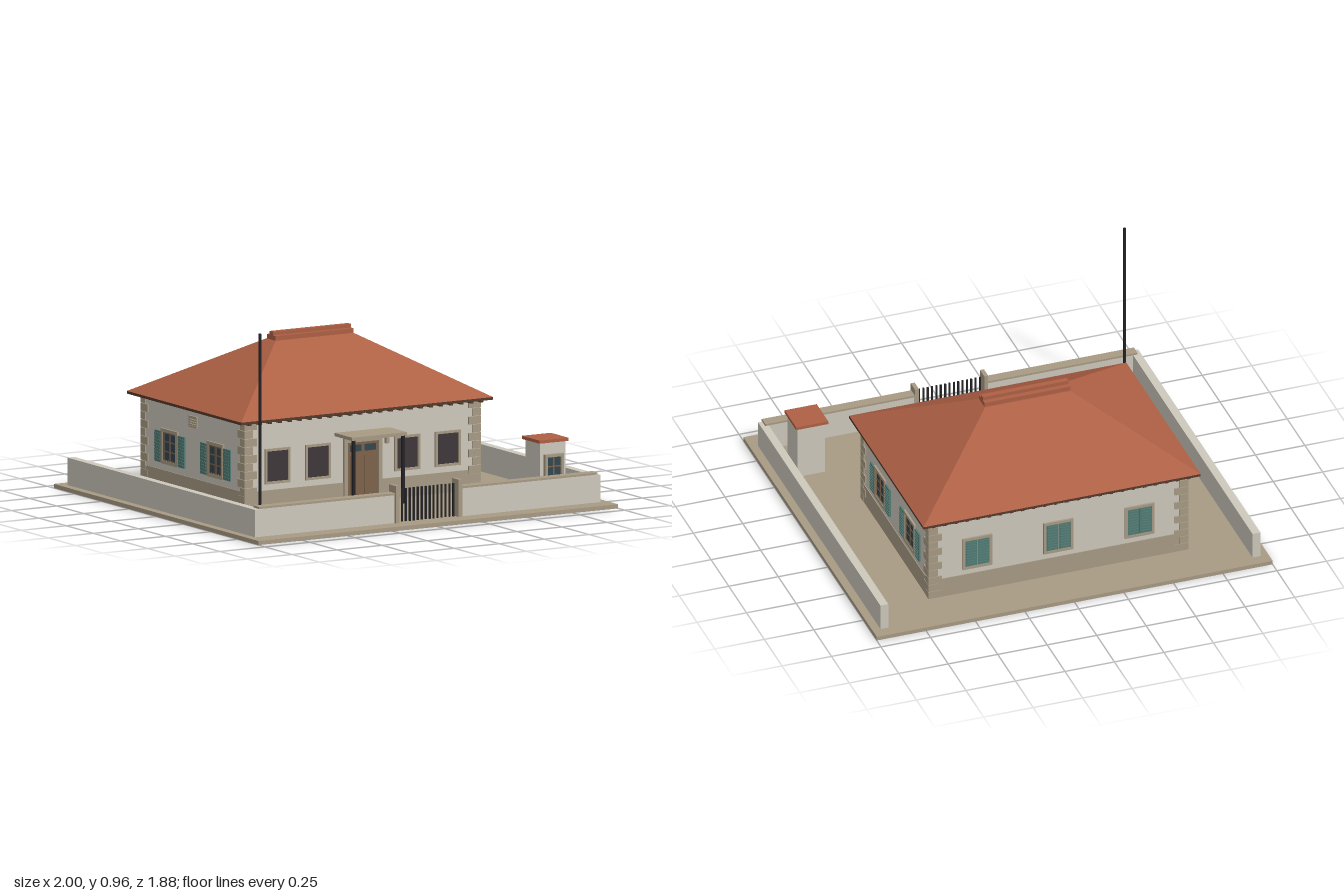
import * as THREE from 'three';

const mat = (name, color) => {
  const m = new THREE.MeshStandardMaterial({ color });
  m.name = name;
  return m;
};

export function createModel() {
  const plaster = mat('plaster', 0xcdc8bc);
  const stone = mat('stone', 0xa89b84);
  const tile = mat('roof tile', 0xae6044);
  const wood = mat('door wood', 0x7d624a);
  const darkWood = mat('eave wood', 0x553a2c);
  const iron = mat('iron', 0x242428);
  const glass = mat('glass', 0x33474f);
  const teal = mat('shutter teal', 0x527b74);
  const dark = mat('dark pane', 0x40383a);

  const model = new THREE.Group();
  model.name = 'walledHouse';

  // Box given by its min and max on each axis
  const box = (parent, name, m, x0, x1, y0, y1, z0, z1) => {
    const mesh = new THREE.Mesh(new THREE.BoxGeometry(x1 - x0, y1 - y0, z1 - z0), m);
    mesh.position.set((x0 + x1) / 2, (y0 + y1) / 2, (z0 + z1) / 2);
    mesh.name = name;
    parent.add(mesh);
    return mesh;
  };
  const group = (name, x = 0, y = 0, z = 0, turn = 0) => {
    const g = new THREE.Group();
    g.name = name;
    g.position.set(x, y, z);
    g.rotation.y = turn;
    model.add(g);
    return g;
  };
  // Upright frame ring around an opening, local z = 0 at the wall
  const frame = (g, m, w, y0, y1, t, d) => {
    box(g, 'frameLeft', m, w - t, w, y0, y1, 0, d);
    box(g, 'frameRight', m, -w, -w + t, y0, y1, 0, d);
    box(g, 'frameTop', m, -w + t, w - t, y1 - t, y1, 0, d);
    box(g, 'frameBottom', m, -w + t, w - t, y0, y0 + t, 0, d);
  };
  // Louvred shutter leaf
  const shutter = (g, x0, x1, y0, y1, d) => {
    box(g, 'shutterLeaf', teal, x0, x1, y0, y1, 0, d);
    for (let i = 0; i < 9; i++) {
      const y = y0 + 0.01 + (i / 9) * (y1 - y0 - 0.012);
      box(g, 'shutterSlat', teal, x0 + 0.006, x1 - 0.006, y, y + 0.006, d, d + 0.004);
    }
  };

  // Ground slab
  box(model, 'groundSlab', stone, -1, 1, 0, 0.02, -0.94, 0.94);

  // Yard walls, gate posts and gate
  for (const s of [-1, 1]) {
    const span = (a, b) => (s > 0 ? [a, b] : [-b, -a]);
    box(model, 'sideYardWall', plaster, ...span(0.92, 0.96), 0.02, 0.152, -0.88, 0.845);
    box(model, 'frontYardWall', plaster, ...span(0.18, 0.92), 0.02, 0.155, 0.803, 0.843);
    box(model, 'wallCoping', stone, ...span(0.18, 0.94), 0.155, 0.165, 0.798, 0.848);
    box(model, 'gatePost', stone, ...span(0.165, 0.185), 0.02, 0.2, 0.795, 0.855);
  }
  for (let i = 0; i < 15; i++) {
    const x = -0.154 + i * 0.022;
    box(model, 'gateBar', iron, x - 0.004, x + 0.004, 0.02, 0.18, 0.82, 0.828);
  }

  // House body and plinth
  const X = 0.65, ZF = 0.24, ZB = -0.705;
  box(model, 'houseWalls', plaster, -X, X, 0.02, 0.46, ZB, ZF);
  box(model, 'plinth', stone, -X - 0.004, X + 0.004, 0.02, 0.12, ZB - 0.004, ZF + 0.004);

  // Alternating corner stones
  for (const sx of [-1, 1]) for (const sz of [-1, 1]) {
    for (let i = 0; i < 11; i++) {
      const y1 = 0.455 - i * 0.0395;
      const lx = i % 2 ? 0.047 : 0.068, lz = i % 2 ? 0.068 : 0.042;
      const ox = X + 0.007, oz = (sz > 0 ? ZF : -ZB) + 0.007;
      const xs = sx > 0 ? [ox - lx, ox] : [-ox, -ox + lx];
      const zs = sz > 0 ? [oz - lz, oz] : [-oz, -oz + lz];
      box(model, 'cornerStone', stone, ...xs, y1 - 0.037, y1, ...zs);
    }
  }

  // Hipped roof: box with its top corners drawn in to the ridge
  box(model, 'eaveBoard', darkWood, -0.7, 0.7, 0.455, 0.468, -0.763, 0.285);
  const roofGeo = new THREE.BoxGeometry(2, 1, 2);
  const p = roofGeo.attributes.position;
  for (let i = 0; i < p.count; i++) {
    const top = p.getY(i) > 0;
    const hx = top ? 0.217 : 0.7, hz = top ? 0.042 : 0.525;
    p.setXYZ(i, p.getX(i) * hx, top ? 0.75 : 0.468, -0.239 + p.getZ(i) * hz);
  }
  roofGeo.computeVertexNormals();
  const roof = new THREE.Mesh(roofGeo, tile);
  roof.name = 'hippedRoof';
  model.add(roof);
  box(model, 'ridgeBase', tile, -0.217, 0.217, 0.75, 0.772, -0.275, -0.197);
  box(model, 'ridgeCap', tile, -0.217, 0.217, 0.772, 0.79, -0.25, -0.222);

  // Rafter tails under the eaves
  for (let i = 0; i < 24; i++) {
    const x = -0.644 + i * 0.056;
    box(model, 'backRafter', darkWood, x - 0.008, x + 0.008, 0.446, 0.456, -0.755, ZB);
    box(model, 'frontRafter', darkWood, x - 0.008, x + 0.008, 0.446, 0.456, ZF, 0.277);
  }

  // Front windows
  for (const x of [-0.473, -0.248, 0.248, 0.473]) {
    const g = group('frontWindow', x, 0, ZF);
    box(g, 'pane', dark, -0.06, 0.06, 0.16, 0.31, 0, 0.005);
    frame(g, stone, 0.07, 0.15, 0.32, 0.012, 0.01);
  }

  // Side windows with open shutters
  for (const s of [-1, 1]) for (const z of [-0.025, -0.445]) {
    const g = group('sideWindow', s * X, 0, z, s * Math.PI / 2);
    frame(g, stone, 0.075, 0.152, 0.322, 0.016, 0.01);
    box(g, 'glassPane', glass, -0.055, 0.055, 0.165, 0.308, 0, 0.003);
    frame(g, wood, 0.06, 0.163, 0.308, 0.009, 0.007);
    box(g, 'mullion', wood, -0.005, 0.005, 0.17, 0.3, 0, 0.006);
    for (const y of [0.213, 0.26]) box(g, 'glazingBar', wood, -0.052, 0.052, y - 0.003, y + 0.003, 0, 0.005);
    shutter(g, 0.076, 0.137, 0.155, 0.305, 0.008);
    shutter(g, -0.137, -0.076, 0.155, 0.305, 0.008);
  }

  // Back windows with closed shutters
  for (const x of [-0.41, 0, 0.41]) {
    const g = group('backWindow', x, 0, ZB, Math.PI);
    frame(g, stone, 0.075, 0.15, 0.322, 0.014, 0.01);
    shutter(g, 0.002, 0.061, 0.164, 0.308, 0.007);
    shutter(g, -0.061, -0.002, 0.164, 0.308, 0.007);
  }

  // Vent on the right wall
  const vent = group('wallVent', -X, 0, -0.23, -Math.PI / 2);
  frame(vent, stone, 0.038, 0.365, 0.42, 0.008, 0.008);
  for (let i = 0; i < 4; i++) box(vent, 'ventSlat', stone, -0.03, 0.03, 0.374 + i * 0.011, 0.38 + i * 0.011, 0, 0.006);

  // Front door
  const door = group('frontDoor', 0, 0, ZF);
  box(door, 'doorLeaf', wood, -0.088, 0.088, 0.02, 0.31, 0, 0.006);
  for (const s of [-1, 1]) {
    box(door, 'doorJamb', stone, s * 0.096 - 0.01, s * 0.096 + 0.01, 0.02, 0.31, 0, 0.012);
    box(door, 'transomGlass', glass, s * 0.04 - 0.031, s * 0.04 + 0.031, 0.265, 0.297, 0, 0.008);
    box(door, 'doorPanel', wood, s * 0.04 - 0.03, s * 0.04 + 0.03, 0.05, 0.245, 0, 0.009);
  }
  box(door, 'doorLintel', stone, -0.106, 0.106, 0.31, 0.332, 0, 0.012);

  // Porch canopy, posts and hanging lantern
  box(model, 'porchCanopy', stone, -0.153, 0.153, 0.348, 0.364, ZF, 0.4);
  for (const x of [-0.137, 0.137]) box(model, 'porchPost', iron, x - 0.007, x + 0.007, 0.02, 0.348, 0.382, 0.396);
  box(model, 'lanternRod', iron, 0.118, 0.122, 0.335, 0.348, 0.268, 0.272);
  box(model, 'lanternCap', iron, 0.108, 0.132, 0.328, 0.336, 0.258, 0.282);
  box(model, 'lanternBody', stone, 0.112, 0.128, 0.295, 0.328, 0.262, 0.278);

  // Small hut by the front wall
  box(model, 'hutBody', plaster, 0.737, 0.877, 0.02, 0.296, 0.522, 0.658);
  box(model, 'hutRoof', tile, 0.727, 0.889, 0.296, 0.311, 0.505, 0.668);
  const hut = group('hutWindow', 0.808, 0, 0.658);
  frame(hut, stone, 0.052, 0.12, 0.24, 0.014, 0.016);
  box(hut, 'hutGlass', glass, -0.038, 0.038, 0.134, 0.226, 0, 0.005);
  box(hut, 'hutMullion', wood, -0.004, 0.004, 0.134, 0.226, 0, 0.008);
  box(hut, 'hutBar', wood, -0.038, 0.038, 0.177, 0.183, 0, 0.008);

  // Tall pole
  const pole = new THREE.Mesh(new THREE.CylinderGeometry(0.007, 0.007, 0.945, 8), iron);
  pole.position.set(-0.83, 0.4925, 0.673);
  pole.name = 'pole';
  model.add(pole);

  return model;
}
